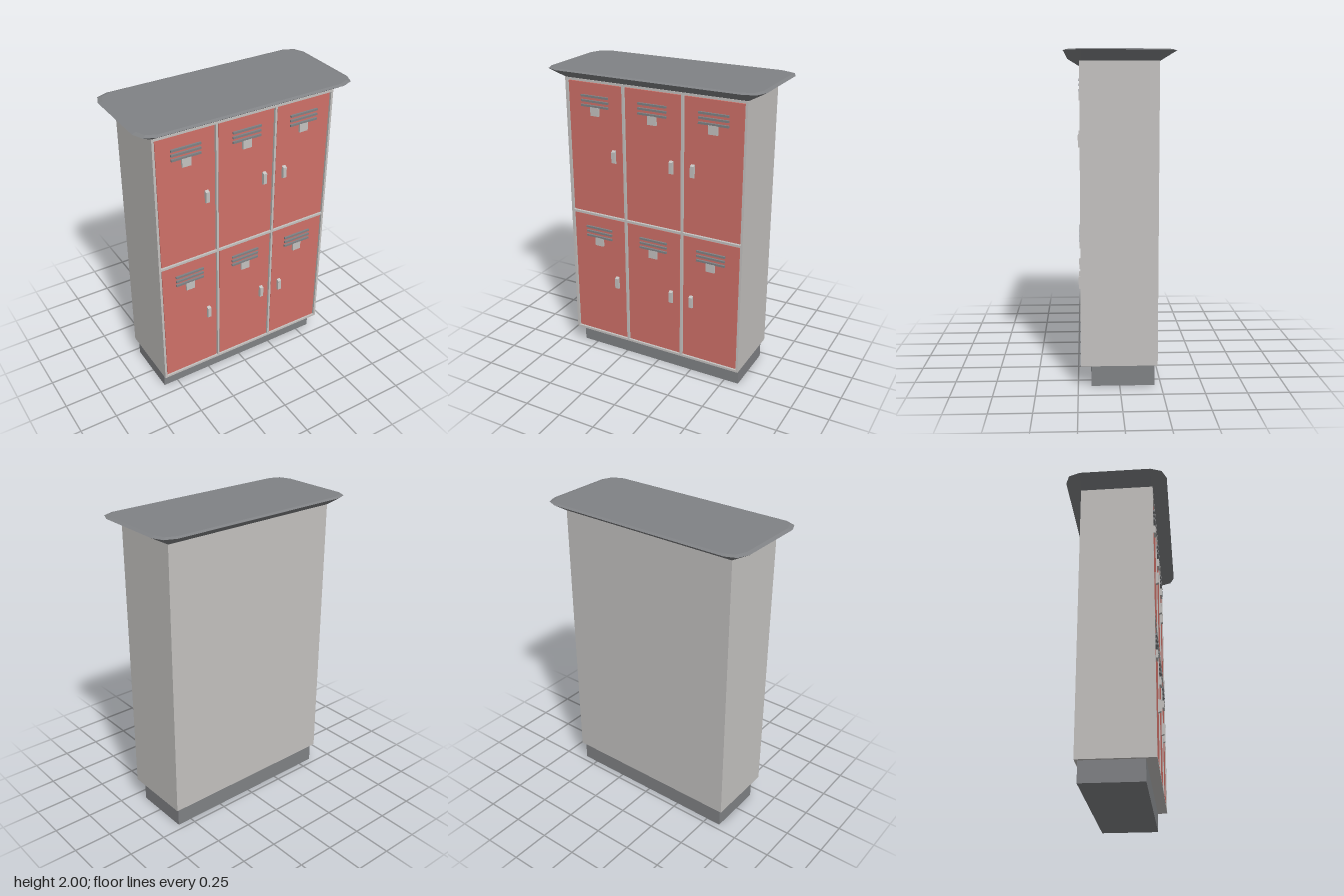
import * as THREE from 'three';

const material = (name, color) => Object.assign(new THREE.MeshStandardMaterial({ color }), { name });

// Rounded rectangle ring in the xz plane, two facets per corner
function ring(y, hx, hz, r) {
  const pts = [];
  [[1, 1], [-1, 1], [-1, -1], [1, -1]].forEach(([sx, sz], c) => {
    for (let k = 0; k < 3; k++) {
      const a = (c + k / 2) * Math.PI / 2;
      pts.push([sx * (hx - r) + r * Math.cos(a), y, sz * (hz - r) + r * Math.sin(a)]);
    }
  });
  return pts;
}

// Flat-faced loft through rings, capped at both ends
function loft(rings) {
  const pos = [];
  const tri = (...p) => p.forEach(v => pos.push(...v));
  const n = rings[0].length, last = rings[rings.length - 1];
  for (let i = 0; i < n; i++) {
    const j = (i + 1) % n;
    for (let k = 0; k < rings.length - 1; k++) {
      const lo = rings[k], up = rings[k + 1];
      tri(lo[i], up[i], up[j]);
      tri(lo[i], up[j], lo[j]);
    }
    tri([0, rings[0][0][1], 0], rings[0][i], rings[0][j]);
    tri([0, last[0][1], 0], last[j], last[i]);
  }
  const g = new THREE.BufferGeometry();
  g.setAttribute('position', new THREE.Float32BufferAttribute(pos, 3));
  g.computeVertexNormals();
  return g;
}

function rectangle(Type, x, y, w, h) {
  const p = new Type();
  p.moveTo(x - w / 2, y - h / 2);
  p.lineTo(x + w / 2, y - h / 2);
  p.lineTo(x + w / 2, y + h / 2);
  p.lineTo(x - w / 2, y + h / 2);
  p.closePath();
  return p;
}

export function createModel() {
  const model = new THREE.Group();
  model.name = 'lockerCabinet';
  const metal = material('lightGreyMetal', 0xc4c2c0);
  const dark = material('darkGrey', 0x808285);
  const red = material('doorRed', 0xcf7068);

  const add = (parent, name, geometry, mat, x = 0, y = 0, z = 0) => {
    const mesh = new THREE.Mesh(geometry, mat);
    mesh.name = name;
    mesh.position.set(x, y, z);
    parent.add(mesh);
    return mesh;
  };
  const box = (parent, name, mat, w, h, d, x, y, z) =>
    add(parent, name, new THREE.BoxGeometry(w, h, d), mat, x, y, z);

  // Plinth and cabinet body
  box(model, 'plinth', dark, 1.2, 0.13, 0.38, 0, 0.065, -0.02);
  box(model, 'body', metal, 1.24, 1.805, 0.438, 0, 1.0325, -0.009);

  // Front frame with six openings
  const columns = [-0.408, 0, 0.408];
  const rows = [0.585, 1.48];
  const frame = rectangle(THREE.Shape, 0, 1.0325, 1.24, 1.805);
  for (const x of columns) for (const y of rows) {
    frame.holes.push(rectangle(THREE.Path, x, y, 0.394, 0.88));
  }
  add(model, 'frontFrame', new THREE.ExtrudeGeometry(frame, { depth: 0.023, bevelEnabled: false }), metal, 0, 0, 0.21);

  // Flared top with clipped corners
  add(model, 'flaredTop', loft([
    ring(1.935, 0.62, 0.23, 0.004),
    ring(1.993, 0.726, 0.325, 0.1),
    ring(2, 0.7, 0.305, 0.09),
  ]), dark);

  // Handle: tapered grip
  const grip = new THREE.Shape([[0, -0.044], [0.02, -0.036], [0.02, 0.036], [0, 0.044]].map(p => new THREE.Vector2(...p)));
  const handleGeometry = new THREE.ExtrudeGeometry(grip, { depth: 0.024, bevelEnabled: false });
  handleGeometry.rotateY(-Math.PI / 2).translate(0.012, 0, 0);

  // Doors with vents, label holder and handle
  columns.forEach((x, i) => rows.forEach(y => {
    const door = new THREE.Group();
    door.name = 'door';
    door.position.set(x, y, 0.226);
    model.add(door);
    box(door, 'doorPanel', red, 0.382, 0.87, 0.016, 0, 0, -0.008);
    for (let k = 0; k < 3; k++) {
      box(door, 'ventSlat', dark, 0.196, 0.013, 0.012, 0, 0.351 - k * 0.031, 0.006);
    }
    box(door, 'labelHolder', metal, 0.06, 0.056, 0.013, 0, 0.256, 0.0065);
    add(door, 'handle', handleGeometry, metal, i === 2 ? -0.131 : 0.131, -0.022, 0);
  }));
  return model;
}
